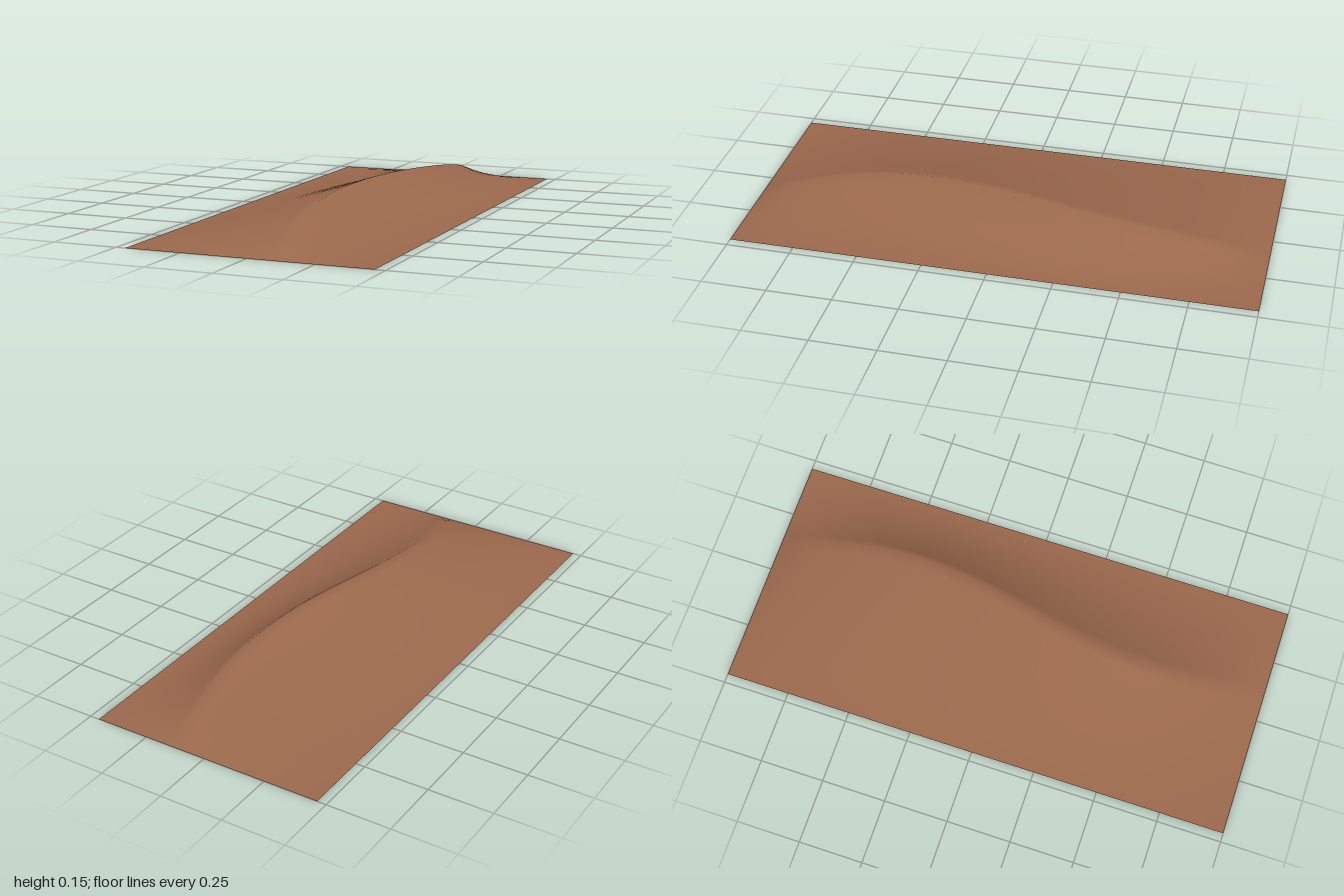
import * as THREE from 'three';

const X0 = -0.465, X1 = 0.463;   // windward and lee feet
const ROWS = 32, WIND = 16, LEE = 10;

// Ridge line wanders in x and drops to the ground at both ends
const crestX = z => 0.115 - 0.07 * Math.sin(Math.PI * z);
const crestY = z => 0.15 * Math.pow(Math.max(0, Math.cos(Math.PI * z / 2)), 0.7);

// Long gentle windward slope, then a steep concave slip face
function sectionPoint(col, z) {
  const cx = crestX(z), h = crestY(z);
  if (col <= WIND) {
    const u = col / WIND;
    return [X0 + (cx - X0) * u, h * Math.pow(u, 1.2), z];
  }
  const v = 1 - (col - WIND) / LEE;
  return [X1 + (cx - X1) * v, h * Math.pow(v, 1.85), z];
}

export function createModel() {
  const group = new THREE.Group();
  group.name = 'dune';
  const sand = new THREE.MeshStandardMaterial({ color: 0x9a684c });
  sand.name = 'red-brown sand';

  // Dune surface lofted from cross-sections along z
  const cols = WIND + LEE + 1, positions = [], index = [];
  for (let r = 0; r <= ROWS; r++) {
    const z = -1 + 2 * r / ROWS;
    for (let c = 0; c < cols; c++) positions.push(...sectionPoint(c, z));
  }
  for (let r = 0; r < ROWS; r++) {
    for (let c = 0; c < cols - 1; c++) {
      const a = r * cols + c, b = a + cols;
      index.push(a, b, a + 1, a + 1, b, b + 1);
    }
  }
  const geometry = new THREE.BufferGeometry();
  geometry.setAttribute('position', new THREE.Float32BufferAttribute(positions, 3));
  geometry.setIndex(index);
  geometry.computeVertexNormals();
  const surface = new THREE.Mesh(geometry, sand);
  surface.name = 'duneSurface';
  group.add(surface);

  // Flat underside
  const base = new THREE.Mesh(new THREE.PlaneGeometry(X1 - X0, 2).rotateX(Math.PI / 2), sand);
  base.position.x = (X0 + X1) / 2;
  base.name = 'underside';
  group.add(base);

  return group;
}
